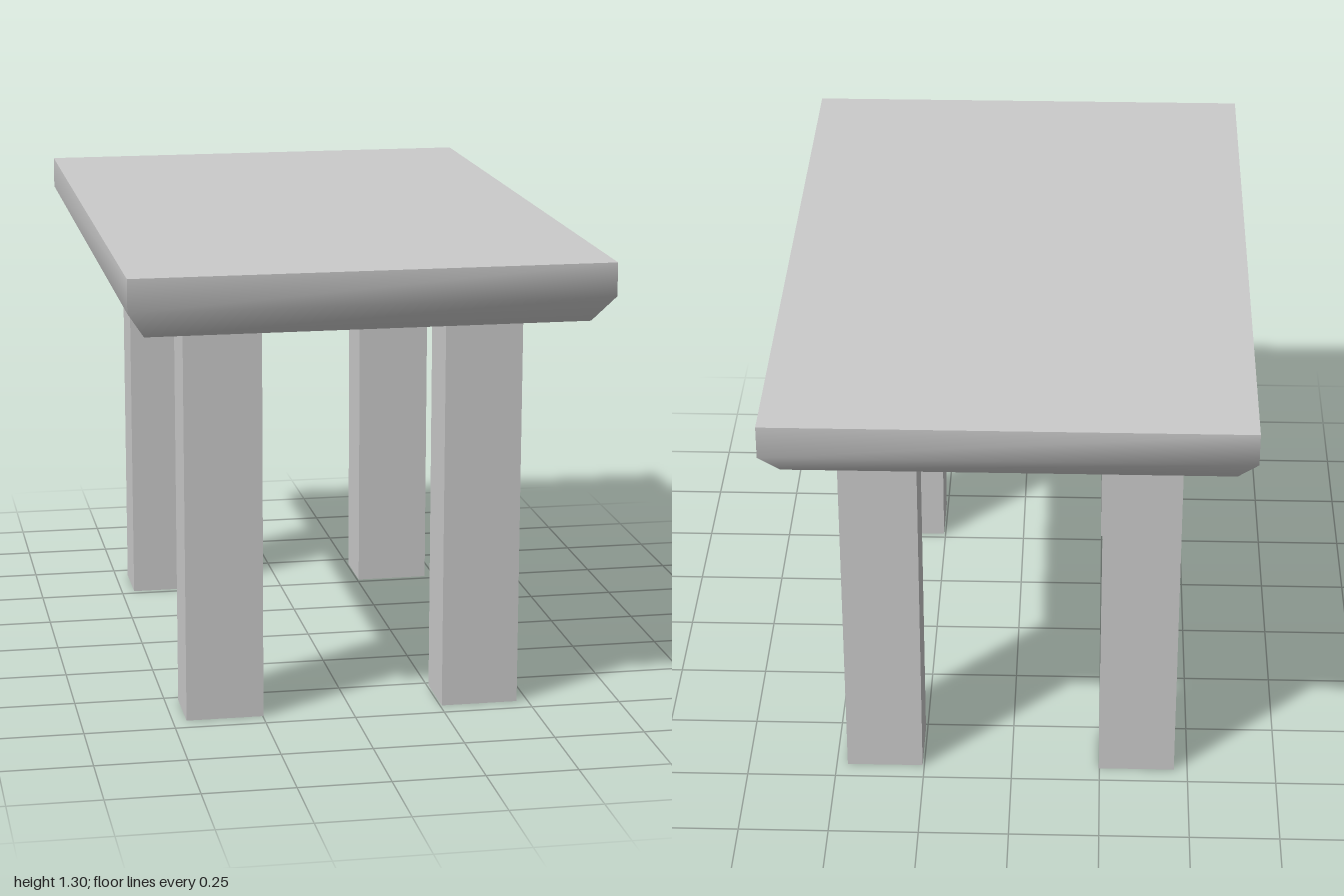
import * as THREE from 'three';
import { mergeGeometries } from 'three/addons/utils/BufferGeometryUtils.js';

// Strip of quads between two equally long rows of points, with smooth normals
function strip(rowA, rowB) {
  const positions = [], index = [];
  rowA.forEach((a, k) => {
    positions.push(...a, ...rowB[k]);
    if (k > 0) {
      const i = 2 * (k - 1);
      index.push(i, i + 1, i + 3, i, i + 3, i + 2);
    }
  });
  const geometry = new THREE.BufferGeometry();
  geometry.setAttribute('position', new THREE.Float32BufferAttribute(positions, 3));
  geometry.setIndex(index);
  geometry.computeVertexNormals();
  return geometry;
}

// Rectangular slab whose lower edge slopes inward; sides shade smoothly over the bend
function tabletopGeometry() {
  const levels = [ // half width, height, half depth
    [0.593, 1.132, 0.93],
    [0.643, 1.21, 1],
    [0.643, 1.3, 1],
  ];
  const corners = [[-1, 1], [1, 1], [1, -1], [-1, -1]];
  const edge = ([sx, sz]) => levels.map(([x, y, z]) => [sx * x, y, sz * z]);
  const edges = corners.map(edge);
  const sides = edges.map((e, i) => strip(e, edges[(i + 1) % 4]));
  const [a, b, c, d] = edges;
  const top = strip([a[2], d[2]], [b[2], c[2]]);
  const bottom = strip([d[0], a[0]], [c[0], b[0]]);
  return mergeGeometries([...sides, top, bottom]);
}

export function createModel() {
  const model = new THREE.Group();
  model.name = 'table';
  const material = new THREE.MeshStandardMaterial({ color: 0xcccccc });

  const tabletop = new THREE.Mesh(tabletopGeometry(), material);
  tabletop.name = 'tabletop';
  model.add(tabletop);

  // Four square-cut legs
  const legHeight = 1.132;
  const legGeometry = new THREE.BoxGeometry(0.214, legHeight, 0.174);
  for (const [side, x] of [['Right', -0.355], ['Left', 0.362]]) {
    for (const [end, z] of [['front', 0.608], ['back', -0.608]]) {
      const leg = new THREE.Mesh(legGeometry, material);
      leg.name = `${end}${side}Leg`;
      leg.position.set(x, legHeight / 2, z);
      model.add(leg);
    }
  }
  return model;
}
